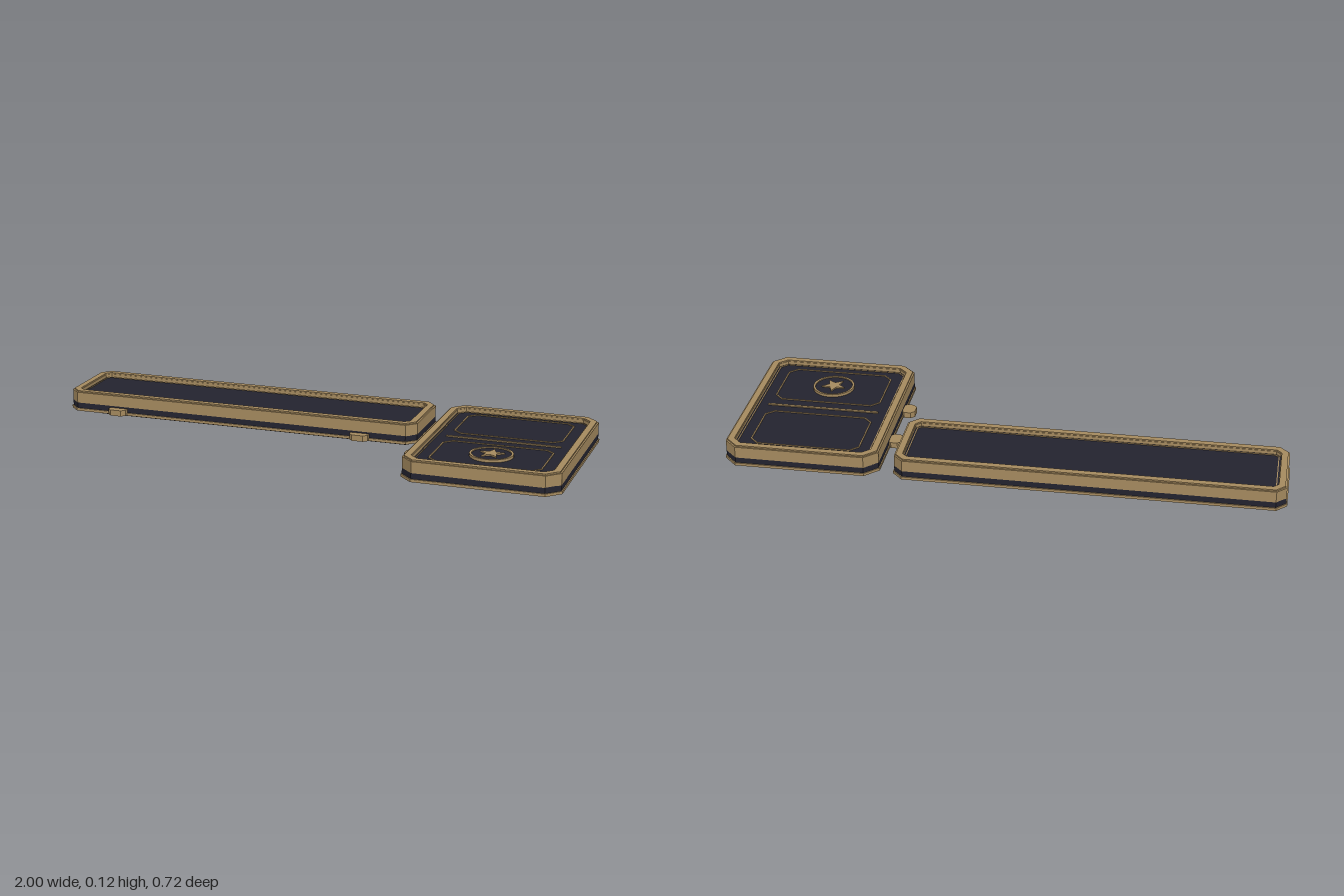
import * as THREE from 'three';

const gold = new THREE.MeshStandardMaterial({ color: 0xa58a5f });
gold.name = 'antique gold';
const dark = new THREE.MeshStandardMaterial({ color: 0x23232f });
dark.name = 'dark navy';

// Rectangle with cut corners, as a list of points in plan
function octagon(w, d, c) {
  const x = w / 2, z = d / 2;
  return [[-x + c, -z], [x - c, -z], [x, -z + c], [x, z - c],
    [x - c, z], [-x + c, z], [-x, z - c], [-x, -z + c]]
    .map(([a, b]) => new THREE.Vector2(a, b));
}

// Octagon moved inwards evenly by i
const inset = (w, d, c, i) => octagon(w - 2 * i, d - 2 * i, Math.max(c - 0.586 * i, 0.002));

// Extrude a plan outline (with an optional hole) upwards from y0 to y1
function slab(name, material, points, y0, y1, hole) {
  const shape = new THREE.Shape(points);
  if (hole) shape.holes.push(new THREE.Path(hole));
  const geometry = new THREE.ExtrudeGeometry(shape, { depth: y1 - y0, bevelEnabled: false, curveSegments: 32 });
  geometry.rotateX(-Math.PI / 2);
  geometry.translate(0, y0, 0);
  const mesh = new THREE.Mesh(geometry, material);
  mesh.name = name;
  return mesh;
}

const PANEL = 0.105;

// Tray: flange, dark body, raised rim and recessed panel with an inlaid line
function tray(name, w, d, c) {
  const group = new THREE.Group();
  group.name = name;
  const at = i => inset(w, d, c, i);
  group.add(
    slab('baseFlange', gold, at(0), 0.045, 0.055, at(0.018)),
    slab('body', dark, at(0.004), 0.055, 0.076),
    slab('underside', dark, at(0.018), 0.047, 0.056),
    slab('rimWall', gold, at(0.004), 0.075, 0.117, at(0.035)),
    slab('rimCap', gold, at(0.01), 0.117, 0.122, at(0.033)),
    slab('panel', dark, at(0.034), 0.075, PANEL),
    slab('panelInlay', gold, at(0.04), PANEL, PANEL + 0.002, at(0.0435))
  );
  return group;
}

// Rail under a tray, with two wider mounting blocks
function rail(length, blockX, blockLength) {
  const group = new THREE.Group();
  group.name = 'underRail';
  group.add(slab('railBar', dark, octagon(length, 0.05, 0.01), 0, 0.05));
  for (const x of blockX) {
    const block = slab('mountBlock', dark, octagon(blockLength, 0.084, 0.018), 0.012, 0.05);
    block.position.x = x;
    group.add(block);
  }
  return group;
}

// Small connecting tab with cut corners
function tab(x, z, w, d) {
  const mesh = slab('connectorTab', gold, octagon(w, d, 0.014), 0.048, 0.07);
  mesh.position.set(x, 0, z);
  return mesh;
}

// Thin octagonal line frame laid on the panel
function lineFrame(z, w, d) {
  const mesh = slab('lineFrame', gold, octagon(w, d, 0.03), PANEL, PANEL + 0.003, inset(w, d, 0.03, 0.005));
  mesh.position.z = z;
  return mesh;
}

function circle(r) {
  return Array.from({ length: 40 }, (_, i) => {
    const a = i / 40 * Math.PI * 2;
    return new THREE.Vector2(Math.cos(a) * r, Math.sin(a) * r);
  });
}

function star(outer, inner) {
  return Array.from({ length: 10 }, (_, i) => {
    const a = Math.PI / 2 + i * Math.PI / 5, r = i % 2 ? inner : outer;
    return new THREE.Vector2(Math.cos(a) * r, Math.sin(a) * r);
  });
}

export function createModel() {
  const model = new THREE.Group();
  model.name = 'twinTrays';

  // Long tray, with tabs on its front edge
  const long = tray('longTray', 1.384, 0.32, 0.037);
  long.position.set(-0.308, 0, -0.2);
  long.add(rail(1.25, [-0.46, 0.46], 0.11));
  for (const x of [-0.481, 0.481]) long.add(tab(x, 0.162, 0.07, 0.05));

  // Square tray, with tabs on its right-hand side
  const square = tray('squareTray', 0.565, 0.718, 0.048);
  square.position.x = 0.7175;
  square.add(rail(0.422, [-0.185, 0.185], 0.1));
  for (const z of [-0.12, 0.11]) square.add(tab(-0.299, z, 0.052, 0.064));

  // Panel line work
  square.add(lineFrame(-0.172, 0.4, 0.246), lineFrame(0.165, 0.4, 0.246));
  const divider = slab('divider', gold, octagon(0.416, 0.01, 0.002), PANEL, PANEL + 0.004);
  divider.position.z = -0.004;
  square.add(divider);

  // Round medallion with star
  const medallion = new THREE.Group();
  medallion.name = 'medallion';
  medallion.add(
    slab('medallionRing', gold, circle(0.077), PANEL, PANEL + 0.01, circle(0.069)),
    slab('medallionDisc', dark, circle(0.07), PANEL, PANEL + 0.006),
    slab('medallionStar', gold, star(0.046, 0.02), PANEL + 0.006, PANEL + 0.011)
  );
  medallion.position.z = 0.165;
  square.add(medallion);

  model.add(long, square);
  return model;
}
